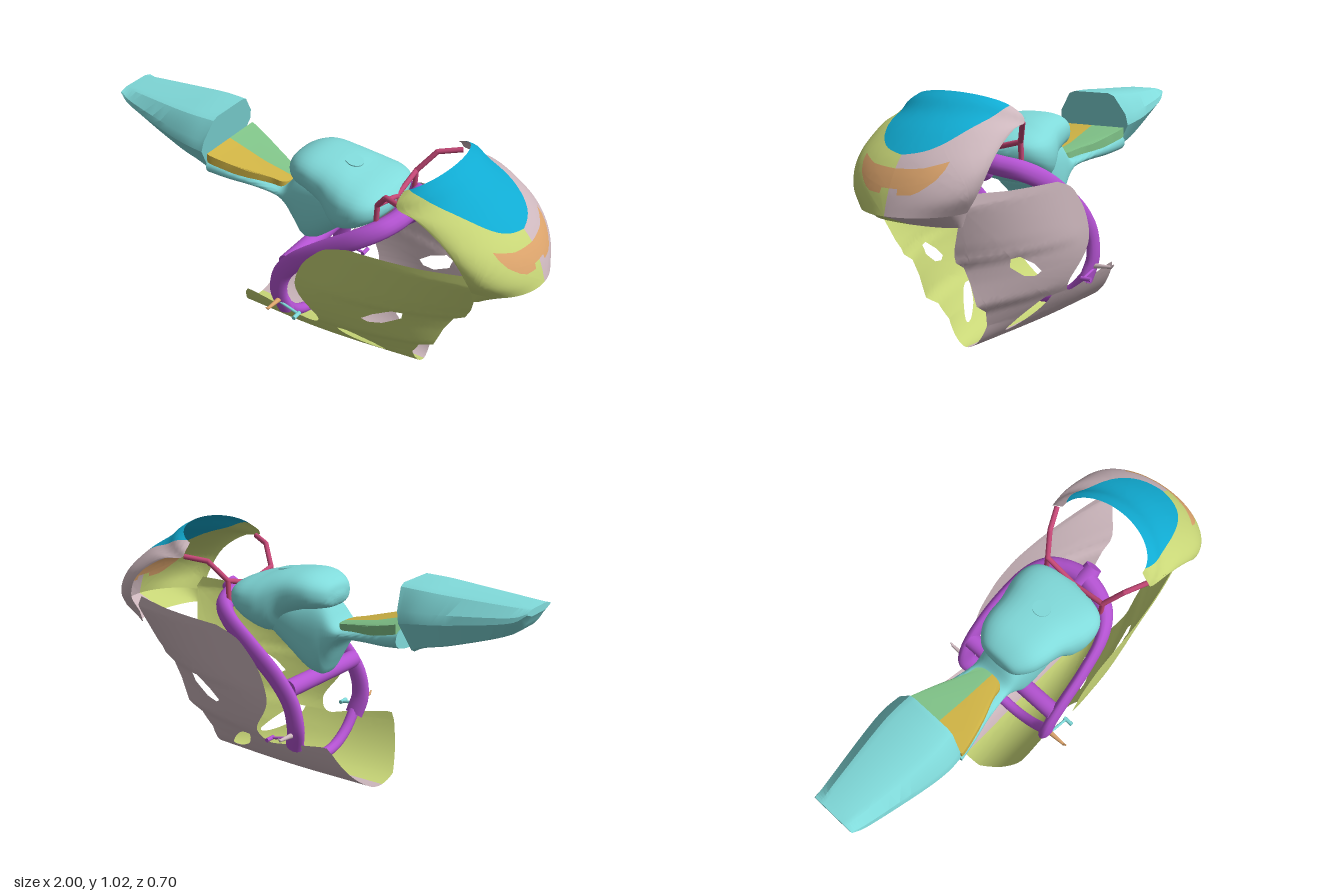
import * as THREE from 'three';
import { mergeVertices, toCreasedNormals } from 'three/addons/utils/BufferGeometryUtils.js';

const V2 = (p) => new THREE.Vector2(p[0], p[1]);
const V3 = (p) => new THREE.Vector3(p[0], p[1], p[2]);
const spline = (pts, n) => new THREE.SplineCurve(pts.map(V2)).getPoints(n).map((p) => [p.x, p.y]);

// Linear lookup in a table of [key, value] pairs
function lookup(table, k) {
  for (let i = 1; i < table.length; i++) {
    const [a, va] = table[i - 1], [b, vb] = table[i];
    if (k <= b) return va + (vb - va) * Math.max(0, (k - a) / (b - a));
  }
  return table[table.length - 1][1];
}

// Fills a flat outline with small triangles, then bends it by map(u, v) -> [x, y, z]
function skin(outline, holes, map, maxEdge = 0.035) {
  const contour = outline.map(V2), inner = holes.map((h) => h.map(V2));
  const all = [contour, ...inner].flat(), out = [];
  const split = (a, b, c) => {
    const d = [a.distanceTo(b), b.distanceTo(c), c.distanceTo(a)];
    const m = Math.max(...d);
    if (m < maxEdge) { for (const p of [a, b, c]) out.push(...map(p.x, p.y)); return; }
    const k = d.indexOf(m), t = [a, b, c];
    const p = t[k], q = t[(k + 1) % 3], r = t[(k + 2) % 3];
    const mid = p.clone().add(q).multiplyScalar(0.5);
    split(p, mid, r);
    split(mid, q, r);
  };
  for (const [i, j, k] of THREE.ShapeUtils.triangulateShape(contour, inner)) {
    const a = all[i], b = all[j], c = all[k];
    const area = (b.x - a.x) * (c.y - a.y) - (b.y - a.y) * (c.x - a.x);
    if (area > 0) split(a, b, c); else split(a, c, b);
  }
  let g = new THREE.BufferGeometry();
  g.setAttribute('position', new THREE.Float32BufferAttribute(out, 3));
  g = mergeVertices(g, 1e-5);
  g.computeVertexNormals();
  return g;
}

// Reflects a geometry in z and keeps its faces turned outward
function mirrored(geo) {
  const g = geo.index ? geo.toNonIndexed() : geo.clone();
  g.scale(1, 1, -1);
  for (const name of ['position', 'normal']) {
    const a = g.attributes[name];
    for (let i = 0; i < a.count; i += 3) {
      const p = new THREE.Vector3().fromBufferAttribute(a, i + 1);
      const q = new THREE.Vector3().fromBufferAttribute(a, i + 2);
      a.setXYZ(i + 1, q.x, q.y, q.z);
      a.setXYZ(i + 2, p.x, p.y, p.z);
    }
  }
  return g;
}

// Closed body through stations [x, bottom, top, halfWidth, lean] with a [z, y] profile
function loft(stations, profile, steps, crease) {
  const lo = new THREE.CatmullRomCurve3(stations.map((s) => V3([s[0], s[1], s[2]])), false, 'catmullrom', 0.5);
  const hi = new THREE.CatmullRomCurve3(stations.map((s) => V3([s[3], s[4] || 0, 0])), false, 'catmullrom', 0.5);
  const n = profile.length, pos = [], idx = [];
  for (let i = 0; i <= steps; i++) {
    const { x, y: bottom, z: top } = lo.getPoint(i / steps), { x: w, y: lean } = hi.getPoint(i / steps);
    for (const [pz, py] of profile) {
      const y = bottom + (top - bottom) * py;
      pos.push(x + lean * (y - top), y, w * pz);
    }
  }
  for (let i = 0; i < steps; i++) for (let j = 0; j < n; j++) {
    const a = i * n + j, b = i * n + (j + 1) % n;
    idx.push(a, a + n, b + n, a, b + n, b);
  }
  for (let j = 1; j < n - 1; j++) {
    const e = steps * n;
    idx.push(0, j, j + 1, e, e + j + 1, e + j);
  }
  const g = new THREE.BufferGeometry();
  g.setAttribute('position', new THREE.Float32BufferAttribute(pos, 3));
  g.setIndex(idx);
  return toCreasedNormals(g, crease);
}

const tube = (pts, r, n = 24, sides = 10) =>
  new THREE.TubeGeometry(new THREE.CatmullRomCurve3(pts.map(V3), false, 'centripetal'), n, r, sides);

// Straight rod with end caps
function rod(a, b, r1, r2 = r1, sides = 14) {
  const from = V3(a), dir = V3(b).sub(from), g = new THREE.CylinderGeometry(r2, r1, dir.length(), sides);
  g.applyQuaternion(new THREE.Quaternion().setFromUnitVectors(new THREE.Vector3(0, 1, 0), dir.clone().normalize()));
  return g.translate(...from.addScaledVector(dir, 0.5).toArray());
}

export function createModel() {
  const model = new THREE.Group();
  const paint = (name, color) => new THREE.MeshStandardMaterial({ name, color, side: THREE.DoubleSide });
  const olive = paint('olive', 0xc8d677), mauve = paint('mauve', 0xcdb7bd), cyan = paint('cyan', 0x10abd2);
  const teal = paint('teal', 0x80dada), purple = paint('purple', 0xb453d2), orange = paint('orange', 0xdca46c);
  const yellow = paint('yellow', 0xd0b445), green = paint('green', 0x80c388), red = paint('red', 0xc44876);
  const add = (name, geo, mat) => {
    const m = new THREE.Mesh(geo, mat);
    m.name = name;
    model.add(m);
  };
  const addPair = (name, geo, left, right) => {
    add(name + 'Left', geo, left);
    add(name + 'Right', mirrored(geo), right);
  };

  // Side fairings: an outline wrapped round an elliptic belly, drawn in toward the front edge
  const R = 0.45;
  const unroll = ([x, y]) => [x, R * (y < R ? Math.acos(1 - y / R) : Math.PI / 2 + (y - R) / R)];
  const frontEdge = [[0, 0.51], [0.1, 0.5], [0.17, 0.54], [0.21, 0.61], [0.31, 0.65], [0.38, 0.69],
    [0.41, 0.74], [0.47, 0.77], [0.57, 0.8], [0.64, 0.82]];
  const wrap = (x, t) => {
    const s = t / R, low = Math.min(s, Math.PI / 2);
    const y = R * (1 - Math.cos(low)) + (s - low) * R;
    const wide = 0.29 * Math.sin(low);
    const edge = Math.min(0.12, wide / 2) + 0.4 * Math.min(0.2, Math.max(0, y - 0.43));
    const d = Math.min(1, Math.max(0, lookup(frontEdge, y) - x) / 0.6);
    return [x, y, edge + (wide - edge) * (1 - (1 - d) ** 2)];
  };
  const panel = [
    [-0.34, 0.0], [-0.34, 0.02], [-0.29, 0.1], [-0.25, 0.19], [-0.23, 0.22],
    ...spline([[-0.2, 0.22], [0, 0.18], [0.08, 0.165], [0.12, 0.19], [0.125, 0.235], [0.06, 0.33], [0.045, 0.4],
      [0.08, 0.5], [0.14, 0.575], [0.2, 0.625], [0.3, 0.66]], 40),
    [0.6, 0.67], [0.79, 0.685], ...frontEdge.slice().reverse().map(([y, x]) => [x, y])];
  const vents = [
    [[0.335, 0.305], [0.385, 0.345], [0.47, 0.39], [0.51, 0.387], [0.5, 0.35], [0.42, 0.3], [0.36, 0.29]],
    spline([[0.2, 0.17], [0.25, 0.165], [0.32, 0.115], [0.375, 0.055], [0.33, 0.055], [0.25, 0.095], [0.21, 0.14], [0.2, 0.17]], 24).slice(0, -1)];
  addPair('sideFairing', skin(panel.map(unroll), vents.map((v) => v.map(unroll)), wrap), olive, mauve);

  // Nose cowl: elliptic arcs from a centre line to the rear opening edge
  const centre = new THREE.CatmullRomCurve3([[1, 0.62, 0], [0.985, 0.67, 0], [0.965, 0.72, 0], [0.93, 0.78, 0],
    [0.88, 0.835, 0], [0.8, 0.9, 0], [0.71, 0.955, 0], [0.655, 1.0, 0], [0.61, 1.025, 0]].map(V3), false, 'catmullrom');
  const opening = new THREE.CatmullRomCurve3([[0.8, 0.62, 0.215], [0.8, 0.69, 0.26], [0.77, 0.76, 0.28], [0.73, 0.81, 0.283],
    [0.67, 0.855, 0.28], [0.58, 0.9, 0.275], [0.5, 0.91, 0.265], [0.488, 0.937, 0.25], [0.495, 0.965, 0.212]].map(V3), false, 'catmullrom');
  const SU = 0.4, SV = 0.07;
  const cowl = (u, v) => {
    const a = u / SU * Math.PI / 2, t = Math.min(1, v / SV / 8);
    const c = centre.getPoint(t), e = opening.getPoint(t), k = Math.cos(a);
    return [e.x + (c.x - e.x) * k, e.y + (c.y - e.y) * k, e.z * Math.sin(a)];
  };
  const uv = ([a, v]) => [a * SU, v * SV];
  const screenEdge = spline([[0, 3.8], [0.234, 4.15], [0.43, 5], [0.685, 7], [0.9, 8]], 20);
  const lamp = [[0, 3], [0.25, 3.08], [0.46, 3.45], [0.45, 2.95], [0.4, 2.4], [0.28, 1.75], [0.22, 1.55], [0.09, 1.5], [0.08, 1.9], [0, 1.9]];
  const shell = [[0, 0], [1, 0], [1, 8], ...screenEdge.slice().reverse(), ...lamp];
  addPair('noseCowl', skin(shell.map(uv), [], cowl), olive, mauve);
  addPair('windscreen', skin([...screenEdge, [0, 8]].map(uv), [], cowl), cyan, cyan);
  addPair('headlight', skin(lamp.map(uv), [], cowl), orange, orange);
  // Underside of the nose
  addPair('noseUnderside', skin([[0, 0], [SU, 0], [SU, 0.1], [0, 0.1]], [], (u, v) => {
    const [x, y, z] = cowl(u, 0), k = v / 0.1, a = u / SU * Math.PI / 2;
    return [x + (0.8 + 0.06 * Math.cos(a) - x) * k, y + (0.565 - y) * k, z + (0.195 * Math.sin(a) - z) * k];
  }), olive, mauve);

  // Tank, waist and tail
  const round = Array.from({ length: 32 }, (_, i) => {
    const a = i / 32 * Math.PI * 2, c = Math.cos(a), s = Math.sin(a);
    return [Math.sign(c) * Math.abs(c) ** 0.75, 0.5 + 0.5 * Math.sign(s) * Math.abs(s) ** 0.8];
  });
  add('tank', loft([[-0.125, 0.775, 0.8, 0.03], [-0.11, 0.745, 0.84, 0.09], [-0.06, 0.73, 0.87, 0.135], [0, 0.72, 0.882, 0.155],
    [0.08, 0.68, 0.877, 0.168], [0.14, 0.61, 0.867, 0.19], [0.2, 0.62, 0.85, 0.205], [0.27, 0.66, 0.832, 0.2],
    [0.32, 0.7, 0.81, 0.16], [0.35, 0.73, 0.78, 0.07]], round, 45, 1.0), teal);
  add('fillerCap', new THREE.CylinderGeometry(0.038, 0.038, 0.006, 28).rotateZ(-0.2).translate(0.145, 0.866, 0), teal);
  add('waist', loft([[-0.49, 0.648, 0.75, 0.165], [-0.4, 0.638, 0.725, 0.145], [-0.3, 0.634, 0.695, 0.118], [-0.2, 0.625, 0.67, 0.1],
    [-0.15, 0.59, 0.68, 0.095], [-0.1, 0.5, 0.75, 0.1], [-0.06, 0.44, 0.78, 0.107], [0, 0.46, 0.79, 0.115],
    [0.08, 0.53, 0.8, 0.125], [0.17, 0.61, 0.8, 0.13]], round, 40, 1.0), teal);
  const half = [[1, 0.48], [0.96, 0.66], [0.66, 0.96], [0.5, 1]];
  const tailProfile = [...half, ...half.slice().reverse().map(([z, y]) => [-z, y]), [-0.62, 0.04], [-0.5, 0], [0.5, 0], [0.62, 0.04]];
  add('tail', loft([[-1, 0.86, 0.888, 0.1], [-0.93, 0.78, 0.893, 0.118], [-0.7, 0.7, 0.905, 0.162],
    [-0.58, 0.67, 0.912, 0.177], [-0.475, 0.645, 0.915, 0.172, 0.2]], tailProfile, 20, 0.5), teal);

  // Two-tone seat pad following the sloping waist
  const seatShape = new THREE.Shape(spline([[-0.485, 0.16], [-0.45, 0.155], [-0.32, 0.115], [-0.22, 0.075], [-0.17, 0.065], [-0.15, 0.04], [-0.145, 0]], 20)
    .concat([[-0.3, 0], [-0.485, 0]]).map(V2));
  const pad = new THREE.ExtrudeGeometry(seatShape, { depth: 0.04, bevelEnabled: false });
  const p = pad.attributes.position;
  for (let i = 0; i < p.count; i++) {
    const x = p.getX(i), y = lookup([[-0.485, 0.725], [-0.3, 0.672], [-0.145, 0.645]], x) + p.getZ(i);
    p.setXYZ(i, x, y, -p.getY(i));
  }
  const seatRight = toCreasedNormals(pad, 0.6);
  add('seatRight', seatRight, green);
  add('seatLeft', mirrored(seatRight), yellow);

  // Frame: two flattened rails, steering head and cross members
  const squash = 0.55;
  const rail = tube([[0.41, 0.73, 0.02], [0.39, 0.715, 0.1], [0.35, 0.695, 0.17], [0.28, 0.655, 0.215], [0.15, 0.57, 0.24], [0.02, 0.465, 0.248],
    [-0.05, 0.37, 0.248], [-0.07, 0.27, 0.243], [-0.05, 0.18, 0.222]].map(([x, y, z]) => [x, y, z / squash]), 0.042, 50, 14);
  addPair('frameRail', rail.scale(1, 1, squash), purple, purple);
  add('steeringHead', rod([0.37, 0.69, 0], [0.465, 0.755, 0], 0.05, 0.036, 24), purple);
  add('crossTube', rod([-0.03, 0.43, -0.24], [-0.03, 0.43, 0.24], 0.038, 0.038, 24), purple);
  add('lowerCradle', tube([[-0.05, 0.2, -0.225], [-0.05, 0.13, -0.16], [-0.05, 0.085, -0.08], [-0.05, 0.072, 0],
    [-0.05, 0.085, 0.08], [-0.05, 0.13, 0.16], [-0.05, 0.2, 0.225]], 0.024, 40, 12), purple);

  // Cowl stay: a stem, a V and two bent arms
  add('stayStem', rod([0.345, 0.7, 0], [0.345, 0.77, 0], 0.011), red);
  const arm = [[0.345, 0.77, 0], [0.345, 0.81, 0.15], [0.41, 0.895, 0.2], [0.5, 0.912, 0.245]];
  for (let i = 0; i < 3; i++) {
    addPair('stayArm' + i, rod(arm[i], arm[i + 1], 0.011), red, red);
    addPair('stayJoint' + i, new THREE.SphereGeometry(0.011, 10, 8).translate(...arm[i]), red, red);
  }
  addPair('stayLeg', rod([0.34, 0.72, 0.15], [0.345, 0.81, 0.15], 0.011), red, red);

  // Foot pegs and foot levers
  addPair('footPeg', rod([-0.06, 0.238, 0.22], [-0.06, 0.244, 0.338], 0.014, 0.006).translate(0, 0, 0), orange, mauve);
  addPair('footPegTip', rod([-0.06, 0.244, 0.335], [-0.06, 0.256, 0.348], 0.006, 0.003), orange, mauve);
  addPair('footLever', rod([-0.07, 0.228, 0.252], [0.04, 0.208, 0.26], 0.006), teal, purple);
  addPair('footLeverPad', rod([0.04, 0.208, 0.25], [0.04, 0.208, 0.295], 0.009), teal, purple);

  return model;
}
